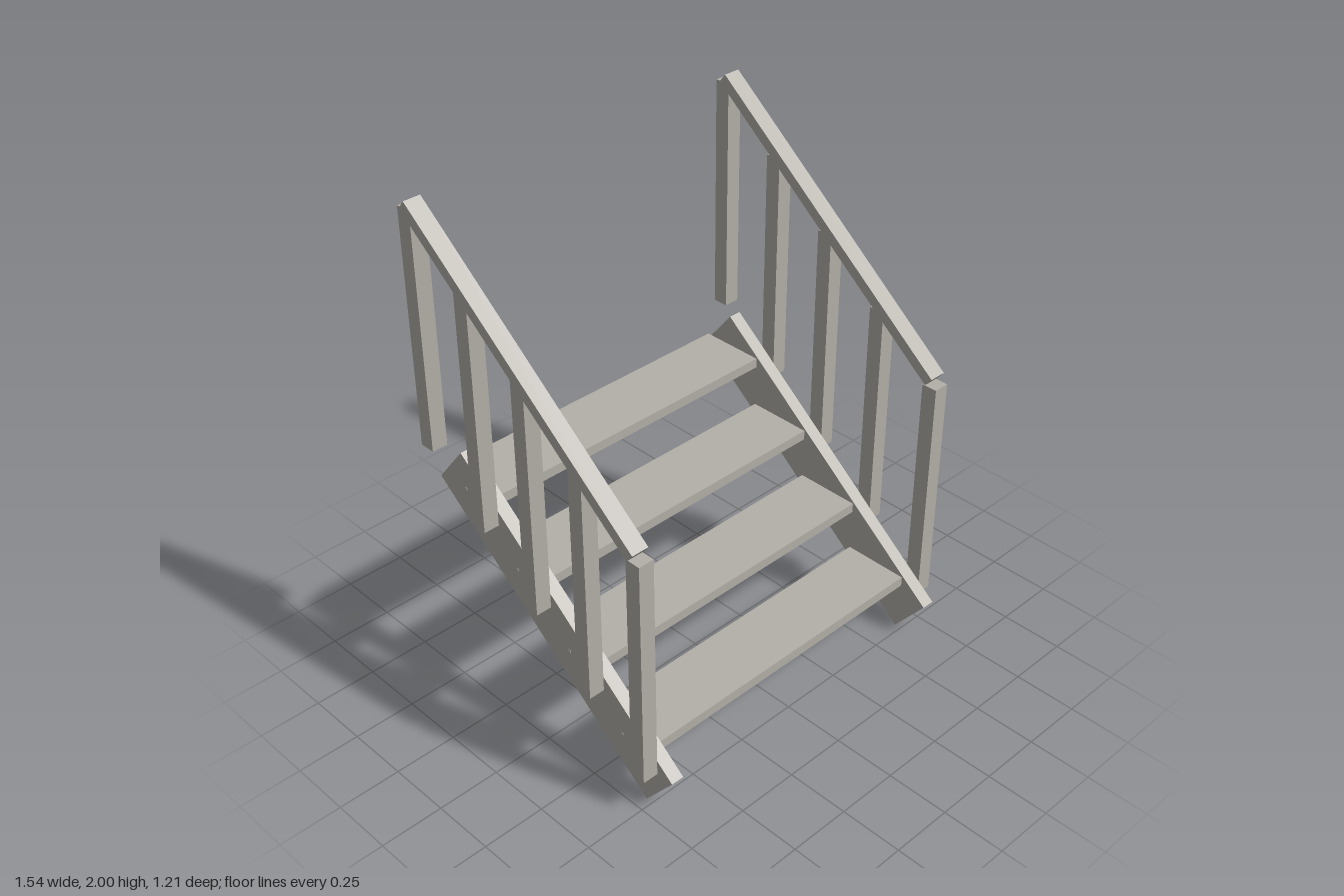
import * as THREE from 'three';

export function createModel() {
  const group = new THREE.Group();
  group.name = 'stairs';
  const wood = new THREE.MeshStandardMaterial({ color: 0xb3afa8 });
  wood.name = 'weathered grey wood';

  const add = (name, geometry, x, y, z) => {
    const mesh = new THREE.Mesh(geometry, wood);
    mesh.name = name;
    mesh.position.set(x, y, z);
    group.add(mesh);
    return mesh;
  };

  const count = 4, run = 0.2675, rise = 0.2145;
  const pitch = Math.atan2(rise, run);

  // Treads
  for (let i = 0; i < count; i++) {
    add('tread', new THREE.BoxGeometry(1.296, 0.04, 0.27), 0, 0.231 + i * rise, 0.351 - i * run);
  }

  for (const [side, s] of [['left', 1], ['right', -1]]) {
    // Sloping side board that carries the treads
    const board = add(side + 'Stringer', new THREE.BoxGeometry(0.053, 0.21, 1.37), s * 0.6745, 0.5135, 0.003);
    board.rotation.x = pitch;

    // Screw heads at the tread ends
    for (let i = 0; i < count; i++) {
      const screw = add(side + 'Screw', new THREE.CylinderGeometry(0.008, 0.008, 0.006, 12),
        s * 0.6995, 0.231 + i * rise, 0.351 - i * run);
      screw.rotation.z = Math.PI / 2;
    }

    // Balusters climbing with the steps
    for (let i = 0; i <= count; i++) {
      add(side + 'Baluster', new THREE.BoxGeometry(0.064, 0.945, 0.063),
        s * 0.733, 0.6375 + i * rise, 0.4975 - i * run);
    }

    // Handrail
    const rail = add(side + 'Handrail', new THREE.BoxGeometry(0.07, 0.044, 1.365), s * 0.736, 1.5555, -0.041);
    rail.rotation.x = pitch;
  }
  return group;
}
